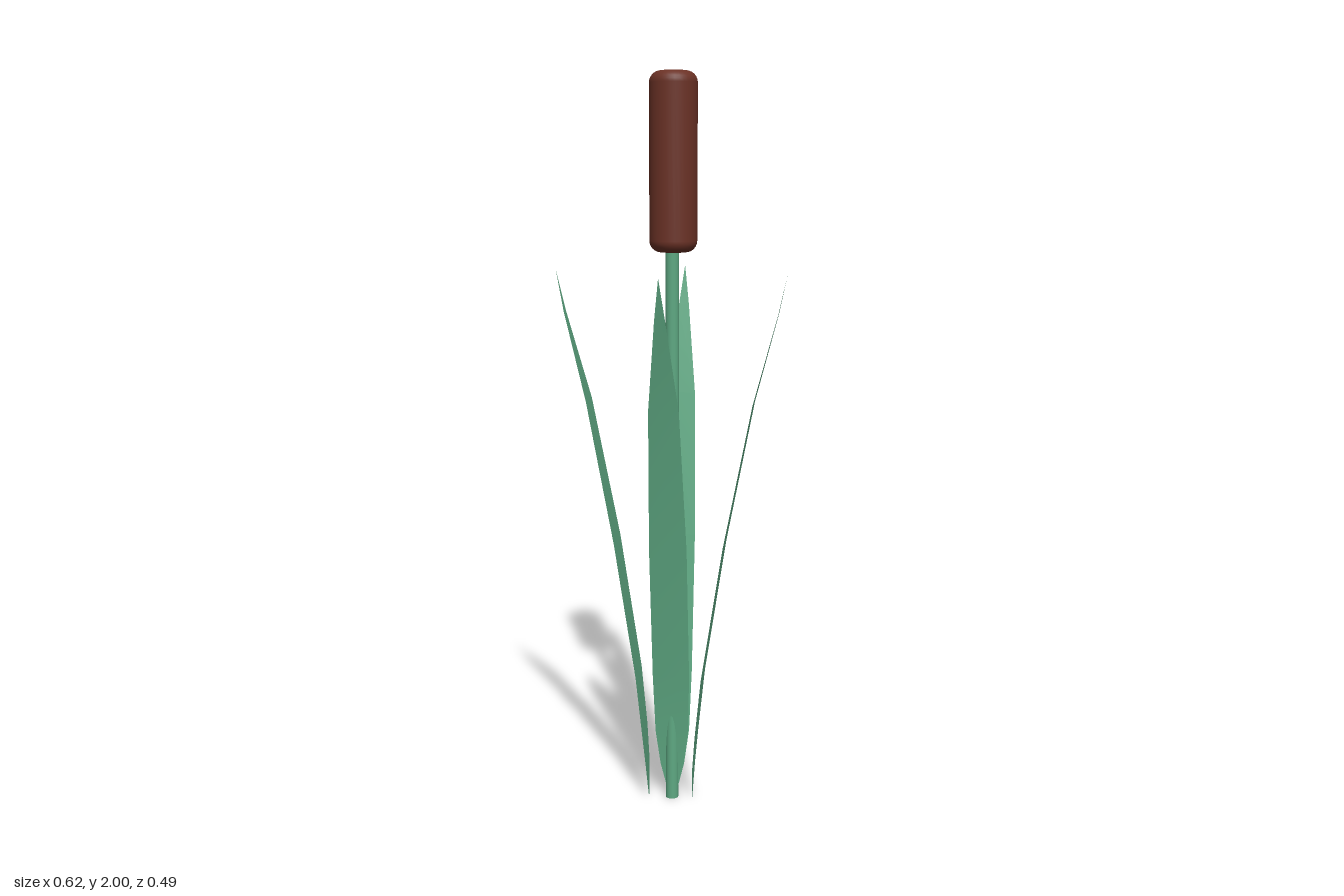
import * as THREE from 'three';

const green = new THREE.MeshStandardMaterial({ color: 0x5ea882, side: THREE.DoubleSide });
const stemGreen = new THREE.MeshStandardMaterial({ color: 0x5ea882 });
const brown = new THREE.MeshStandardMaterial({ color: 0x6b3226 });

// Leaf cross-sections: height, outward lean, half width
const SECTIONS = [
  [0, 0, 0.004], [0.035, 0.001, 0.017], [0.1, 0.004, 0.033], [0.2, 0.012, 0.046],
  [0.37, 0.029, 0.051], [0.75, 0.087, 0.051], [1.14, 0.162, 0.04],
  [1.38, 0.225, 0.014], [1.485, 0.247, 0.0005],
];

// Thin blade leaning towards +z
function leafGeometry() {
  const positions = [], index = [];
  SECTIONS.forEach(([y, z, w], i) => {
    positions.push(-w, y, z, w, y, z);
    if (i > 0) {
      const a = 2 * (i - 1);
      index.push(a, a + 1, a + 3, a, a + 3, a + 2);
    }
  });
  const geometry = new THREE.BufferGeometry();
  geometry.setAttribute('position', new THREE.Float32BufferAttribute(positions, 3));
  geometry.setIndex(index);
  geometry.computeVertexNormals();
  return geometry;
}

export function createModel() {
  const model = new THREE.Group();
  model.name = 'reedPlant';
  const add = (name, geometry, material) => {
    const mesh = new THREE.Mesh(geometry, material);
    mesh.name = name;
    model.add(mesh);
    return mesh;
  };

  // Stem
  const stem = add('stem', new THREE.CylinderGeometry(0.018, 0.018, 1.56, 24), stemGreen);
  stem.position.set(0.004, 0.78, -0.001);

  // Seed head: cylinder with rounded rims
  const R = 0.063, r = 0.03, bottom = 1.538, top = 2;
  const profile = [new THREE.Vector2(0, bottom)];
  for (let i = 0; i <= 6; i++) {
    const a = (i / 6) * Math.PI / 2;
    profile.push(new THREE.Vector2(R - r + r * Math.sin(a), bottom + r - r * Math.cos(a)));
  }
  for (let i = 0; i <= 6; i++) {
    const a = (i / 6) * Math.PI / 2;
    profile.push(new THREE.Vector2(R - r + r * Math.cos(a), top - r + r * Math.sin(a)));
  }
  profile.push(new THREE.Vector2(0, top));
  const head = add('seedHead', new THREE.LatheGeometry(profile, 32), brown);
  head.position.set(0.007, 0, -0.002);

  // Four leaves; the side pair starts away from the stem
  const leaf = leafGeometry();
  ['frontLeaf', 'leftLeaf', 'backLeaf', 'rightLeaf'].forEach((name, i) => {
    const mesh = add(name, leaf, green);
    mesh.rotation.y = i * Math.PI / 2;
    if (i % 2) mesh.position.x = (i === 1 ? 1 : -1) * 0.062;
    else mesh.position.x = 0.005;
  });

  return model;
}
